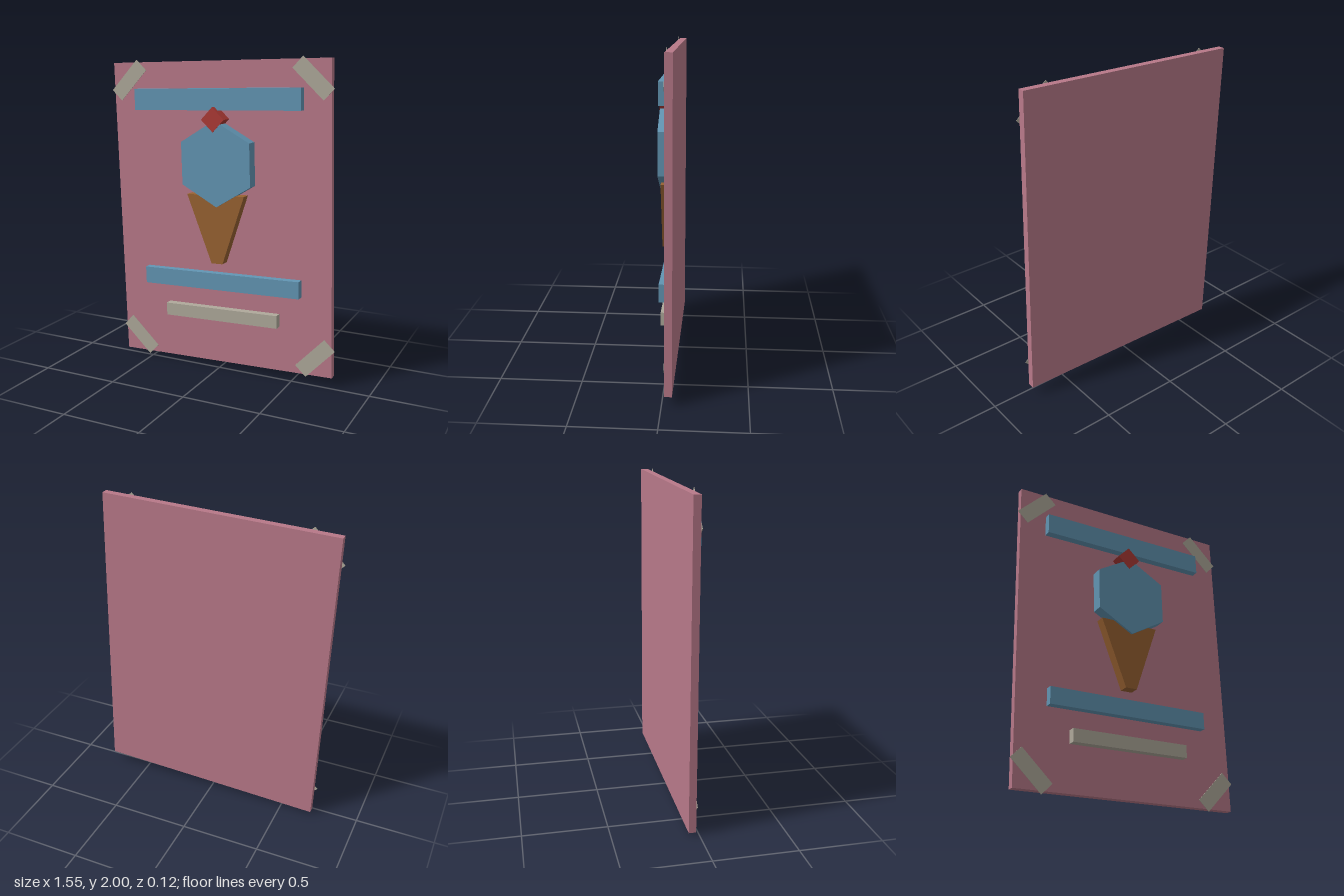
import * as THREE from 'three';

export function createModel() {
  const group = new THREE.Group();
  group.name = 'posterBoard';
  const material = (name, color) => {
    const m = new THREE.MeshStandardMaterial({ color });
    m.name = name;
    return m;
  };
  const pink = material('dusty pink', 0xb87989);
  const blue = material('soft blue', 0x6295b3);
  const red = material('cherry red', 0xad3a35);
  const brown = material('waffle brown', 0x986232);
  const cream = material('tape cream', 0xafa99b);

  const TILT = 0.031; // everything hangs slightly crooked
  const FACE = -0.017; // front plane of the board

  function add(name, geometry, mat, x, y, z, angle = TILT) {
    const mesh = new THREE.Mesh(geometry, mat);
    mesh.name = name;
    mesh.position.set(x, y, z);
    mesh.rotation.z = angle;
    group.add(mesh);
  }

  // Raised block from the board face out to z = front
  function block(name, mat, x, y, w, h, front, angle) {
    const depth = front - FACE;
    add(name, new THREE.BoxGeometry(w, h, depth), mat, x, y, FACE + depth / 2, angle);
  }

  // Raised outline from the board face out to z = front
  function plate(name, mat, x, y, points, front) {
    const shape = new THREE.Shape(points.map(([px, py]) => new THREE.Vector2(px, py)));
    const geometry = new THREE.ExtrudeGeometry(shape, { depth: front - FACE, bevelEnabled: false });
    add(name, geometry, mat, x, y, FACE);
  }

  // Board
  add('board', new THREE.BoxGeometry(1.463, 1.93, 0.044), pink, -0.004, 1.003, FACE - 0.022);

  // Bars above and below the ice cream
  block('topBar', blue, -0.025, 1.737, 1.122, 0.132, 0.03);
  block('lowerBar', blue, 0.011, 0.589, 1.072, 0.108, 0.03);
  block('smallBar', cream, 0.018, 0.37, 0.778, 0.082, 0.03);

  // Ice cream: cone, hexagonal scoop and cherry
  plate('cone', brown, -0.002, 0.93,
    [[-0.038, -0.217], [0.038, -0.217], [0.195, 0.22], [-0.195, 0.22]], 0.046);
  const hexagon = [];
  for (let i = 0; i < 6; i++) {
    const a = Math.PI / 2 + (i * Math.PI) / 3;
    hexagon.push([0.267 * Math.cos(a), 0.267 * Math.sin(a)]);
  }
  plate('scoop', blue, -0.002, 1.345, hexagon, 0.06);
  block('cherry', red, -0.02, 1.616, 0.108, 0.108, 0.062, Math.PI / 4 + TILT);

  // Tape strips across the corners
  const tapes = [
    ['topRightTape', -0.652, 1.837, 1], ['topLeftTape', 0.592, 1.874, -1],
    ['bottomRightTape', -0.598, 0.127, -1], ['bottomLeftTape', 0.645, 0.171, 1],
  ];
  for (const [name, x, y, side] of tapes) {
    block(name, cream, x, y, 0.268, 0.095, FACE + 0.003, side * (Math.PI / 4) + TILT);
  }
  return group;
}
